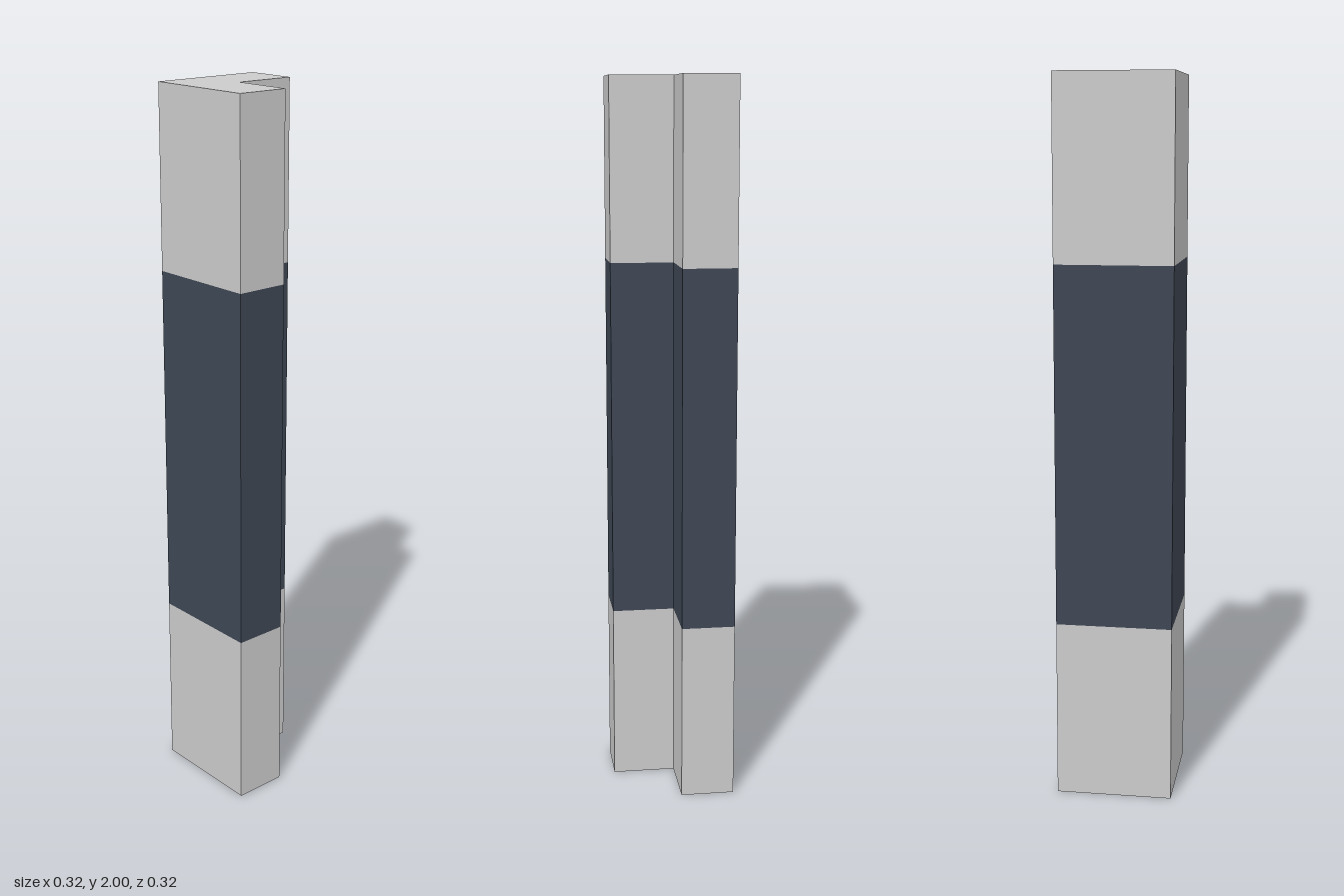
import * as THREE from 'three';
import { mergeGeometries } from 'three/addons/utils/BufferGeometryUtils.js';

// L-shaped plan as [x, z], counter-clockwise seen from above
const R = 0.162, INNER = -0.013;
const PLAN = [[-R, R], [INNER, R], [INNER, INNER], [R, INNER], [R, -R], [-R, -R]];

// Open band of upright walls following the plan
function wallBand(y0, y1) {
  return mergeGeometries(PLAN.map(([x0, z0], i) => {
    const [x1, z1] = PLAN[(i + 1) % PLAN.length];
    const dx = x1 - x0, dz = z1 - z0;
    return new THREE.PlaneGeometry(Math.hypot(dx, dz), y1 - y0)
      .rotateY(Math.atan2(-dz, dx))
      .translate((x0 + x1) / 2, (y0 + y1) / 2, (z0 + z1) / 2);
  }));
}

export function createModel() {
  const group = new THREE.Group();
  const grey = new THREE.MeshStandardMaterial({ color: 0xcccccc, side: THREE.DoubleSide });
  const dark = new THREE.MeshStandardMaterial({ color: 0x3e4754, side: THREE.DoubleSide });
  const add = (name, geometry, material) => {
    const mesh = new THREE.Mesh(geometry, material);
    mesh.name = name;
    group.add(mesh);
  };

  // Three stacked wall bands; the underside stays open
  add('lowerWalls', wallBand(0, 0.5), grey);
  add('middleWalls', wallBand(0.5, 1.5), dark);
  add('upperWalls', wallBand(1.5, 2), grey);

  // Flat top cap
  const shape = new THREE.Shape(PLAN.map(([x, z]) => new THREE.Vector2(x, -z)));
  add('topCap', new THREE.ShapeGeometry(shape).rotateX(-Math.PI / 2).translate(0, 2, 0), grey);

  return group;
}
